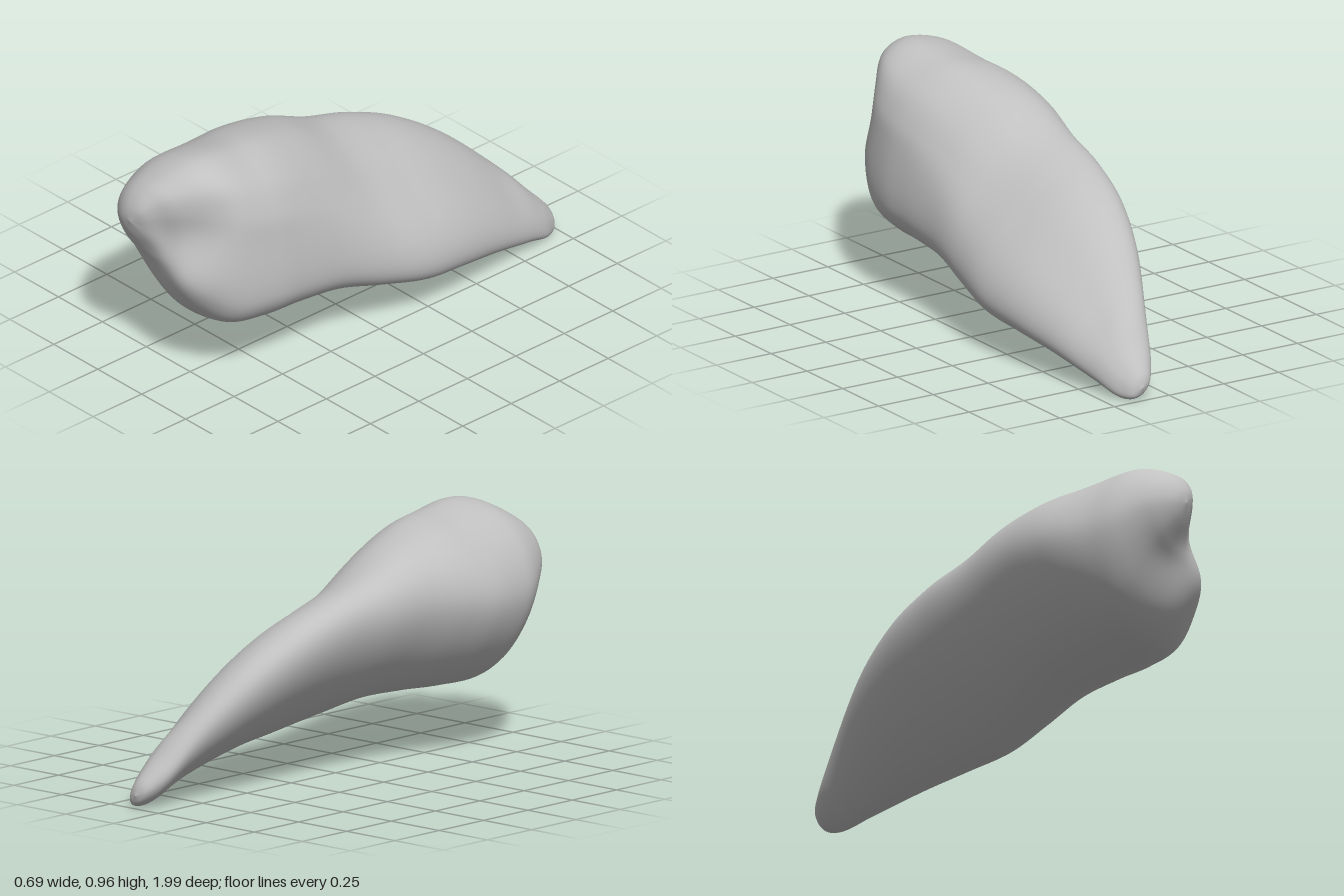
import * as THREE from 'three';

// Cross-sections along z: [z, xMin, xMax, yMin, yMax], root tip to crown tip
const SECTIONS = [
  [-1, 0.12, 0.12, 0.05, 0.05],
  [-0.985, 0.08, 0.16, 0.012, 0.095],
  [-0.95, 0.05, 0.185, 0, 0.14],
  [-0.9, 0.02, 0.208, 0.008, 0.195],
  [-0.8, -0.025, 0.235, 0.04, 0.31],
  [-0.6, -0.12, 0.285, 0.09, 0.5],
  [-0.4, -0.185, 0.325, 0.125, 0.63],
  [-0.2, -0.22, 0.34, 0.148, 0.71],
  [0, -0.245, 0.318, 0.19, 0.77],
  [0.2, -0.285, 0.3, 0.235, 0.86],
  [0.4, -0.33, 0.3, 0.245, 0.92],
  [0.55, -0.345, 0.295, 0.243, 0.94],
  [0.7, -0.325, 0.26, 0.255, 0.96],
  [0.8, -0.3, 0.2, 0.34, 0.945],
  [0.9, -0.24, 0.1, 0.5, 0.89],
  [0.95, -0.195, 0.03, 0.575, 0.845],
  [0.985, -0.14, -0.02, 0.65, 0.79],
  [1, -0.08, -0.08, 0.73, 0.73],
];

// Outline of the crown, counter-clockwise from its right side
const CROWN = [
  [0.3, 0.45], [0.285, 0.64], [0.265, 0.76], [0.2, 0.88], [0.06, 0.96],
  [-0.1, 0.935], [-0.22, 0.86], [-0.31, 0.75], [-0.345, 0.63], [-0.31, 0.5],
  [-0.22, 0.37], [-0.1, 0.28], [0.06, 0.24], [0.2, 0.26], [0.28, 0.34],
];

// Squarer outline of the chewing end, in the same order
const FACE = [
  [1, -0.5], [0.97, 0.05], [0.92, 0.5], [0.75, 0.86], [0.35, 1],
  [-0.2, 0.92], [-0.6, 0.72], [-0.88, 0.4], [-1, 0], [-0.88, -0.4],
  [-0.6, -0.75], [-0.2, -0.95], [0.2, -1], [0.65, -0.95], [0.9, -0.8],
];

const AROUND = 96;
const ROWS = 136;
const smooth = THREE.MathUtils.smoothstep;
const bell = (d, r) => Math.exp(-(d * d) / (r * r));
const spline = (points, closed) =>
  new THREE.CatmullRomCurve3(points.map((p) => new THREE.Vector3(...p)), closed, 'catmullrom', 0.5);

// Stretch a ring to fill -1..1 in both directions
function normalise(ring) {
  const box = new THREE.Box2().setFromPoints(ring);
  const c = box.getCenter(new THREE.Vector2());
  const h = box.getSize(new THREE.Vector2()).multiplyScalar(0.5);
  return ring.map((p) => p.clone().sub(c).divide(h));
}

// Slanted oval for the root, with a long shallow groove on its upper side
function rootRing() {
  const ring = [];
  const slant = 0.69;
  for (let j = 0; j < AROUND; j++) {
    const t = (j / AROUND) * Math.PI * 2;
    const k = 1 - 0.09 * bell(t - 1.1, 0.5);
    ring.push(new THREE.Vector2(Math.cos(t) * k, Math.sin(t - slant) * k));
  }
  return normalise(ring);
}

function outlineRing(points) {
  const curve = spline(points.map(([x, y]) => [x, y, 0]), true);
  const ring = [];
  for (let j = 0; j < AROUND; j++) {
    const p = curve.getPoint(j / AROUND);
    ring.push(new THREE.Vector2(p.x, p.y));
  }
  return normalise(ring);
}

// Chewing face relief: a diagonal valley, a small cusp and a lower rim
function relief(x, y) {
  const along = (x - 0.05) * 0.8 + (y - 0.66) * 0.6;
  const across = -(x - 0.05) * 0.6 + (y - 0.66) * 0.8;
  return -0.05 * bell(across, 0.11) * bell(along, 0.22)
    + 0.025 * bell(Math.hypot(x - 0.14, y - 0.49), 0.1)
    + 0.02 * bell(Math.hypot(x - 0.03, y - 0.35), 0.11);
}

function toothGeometry() {
  const widths = spline(SECTIONS.map(([z, a, b]) => [a, b, z]), false);
  const heights = spline(SECTIONS.map(([z, , , a, b]) => [a, b, z]), false);
  const root = rootRing();
  const crown = outlineRing(CROWN);
  const face = outlineRing(FACE);
  const positions = [];
  const indices = [];

  for (let i = 0; i <= ROWS; i++) {
    const w = widths.getPoint(i / ROWS);
    const h = heights.getPoint(i / ROWS);
    const z = w.z;
    // Round at the root tip, slanted along the root, full at the crown
    const round = Math.max(smooth(z, -0.25, 0.68), 0.5 * (1 - smooth(z, -1, -0.72)));
    const square = 0.8 * smooth(z, 0.55, 0.85);
    const ring = normalise(root.map((p, j) => p.clone().lerp(crown[j], round).lerp(face[j], square)));
    for (const p of ring) {
      const x = (w.x + w.y) / 2 + (p.x * (w.y - w.x)) / 2;
      const y = (h.x + h.y) / 2 + (p.y * (h.y - h.x)) / 2;
      positions.push(x, y, z + relief(x, y) * smooth(z, 0.58, 0.8));
    }
  }
  // Skin the rings; each end row closes to a point and needs one triangle per side
  for (let i = 0; i < ROWS; i++) {
    for (let j = 0; j < AROUND; j++) {
      const k = (j + 1) % AROUND;
      const a = i * AROUND + j, b = i * AROUND + k;
      const c = a + AROUND, d = b + AROUND;
      if (i > 0) indices.push(a, b, d);
      if (i < ROWS - 1) indices.push(a, d, c);
    }
  }

  const geometry = new THREE.BufferGeometry();
  geometry.setAttribute('position', new THREE.Float32BufferAttribute(positions, 3));
  geometry.setIndex(indices);
  geometry.computeVertexNormals();
  return geometry;
}

export function createModel() {
  const group = new THREE.Group();
  group.name = 'toothModel';
  const enamel = new THREE.MeshStandardMaterial({ color: 0xc0c0c0 });
  enamel.name = 'light grey';
  const tooth = new THREE.Mesh(toothGeometry(), enamel);
  tooth.name = 'tooth';
  group.add(tooth);
  return group;
}
